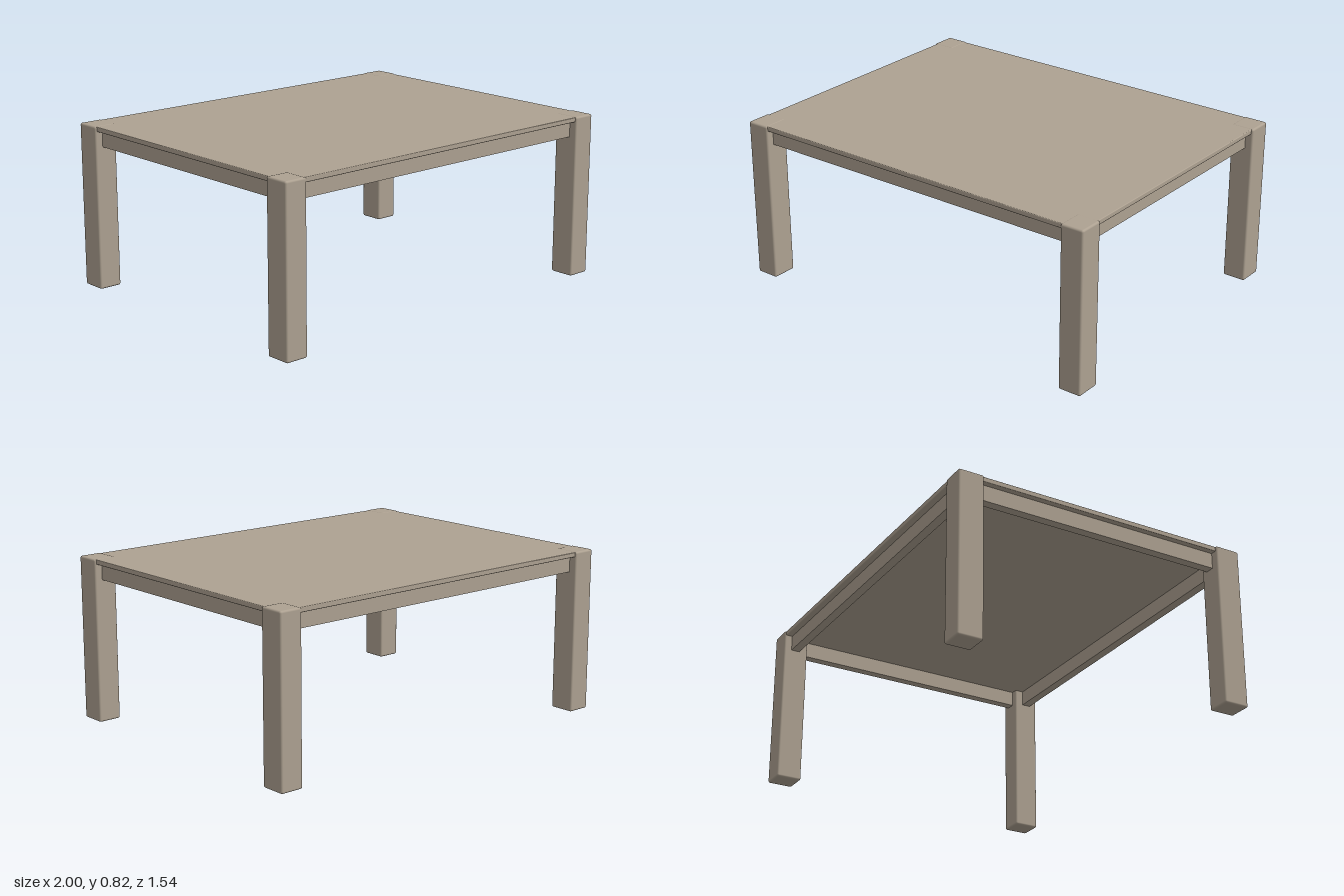
import * as THREE from 'three';
import { RoundedBoxGeometry } from 'three/addons/geometries/RoundedBoxGeometry.js';

export function createModel() {
  const table = new THREE.Group();
  table.name = 'table';
  const wood = new THREE.MeshStandardMaterial({ color: 0xada191 });
  wood.name = 'pale wood';

  const add = (name, geometry, x, y, z) => {
    const mesh = new THREE.Mesh(geometry, wood);
    mesh.name = name;
    mesh.position.set(x, y, z);
    table.add(mesh);
  };

  const height = 0.82;
  const legX = 0.12, legZ = 0.13;   // leg section
  const halfX = 1, halfZ = 0.77;    // outer extents

  // Table top, set slightly inside the outer faces of the legs
  add('tableTop', new RoundedBoxGeometry(1.98, 0.024, 1.526, 2, 0.004), 0, height - 0.0135, 0);

  // Corner legs with softened edges, flush with the top
  const legGeometry = new RoundedBoxGeometry(legX, height, legZ, 3, 0.01);
  for (const sx of [-1, 1]) {
    for (const sz of [-1, 1]) {
      const side = (sz > 0 ? 'front' : 'back') + (sx > 0 ? 'Left' : 'Right');
      add(side + 'Leg', legGeometry, sx * (halfX - legX / 2), height / 2, sz * (halfZ - legZ / 2));
    }
  }

  // Apron rails under the top, recessed from the edge
  const railHeight = 0.08, railThick = 0.045, inset = 0.04;
  const railY = 0.715 + railHeight / 2;
  const longRail = new THREE.BoxGeometry(2 * (halfX - legX) + 0.02, railHeight, railThick);
  const shortRail = new THREE.BoxGeometry(railThick, railHeight, 2 * (halfZ - legZ) + 0.02);
  for (const s of [-1, 1]) {
    add(s > 0 ? 'frontRail' : 'backRail', longRail, 0, railY, s * (halfZ - inset - railThick / 2));
    add(s > 0 ? 'leftRail' : 'rightRail', shortRail, s * (halfX - inset - railThick / 2), railY, 0);
  }

  return table;
}
